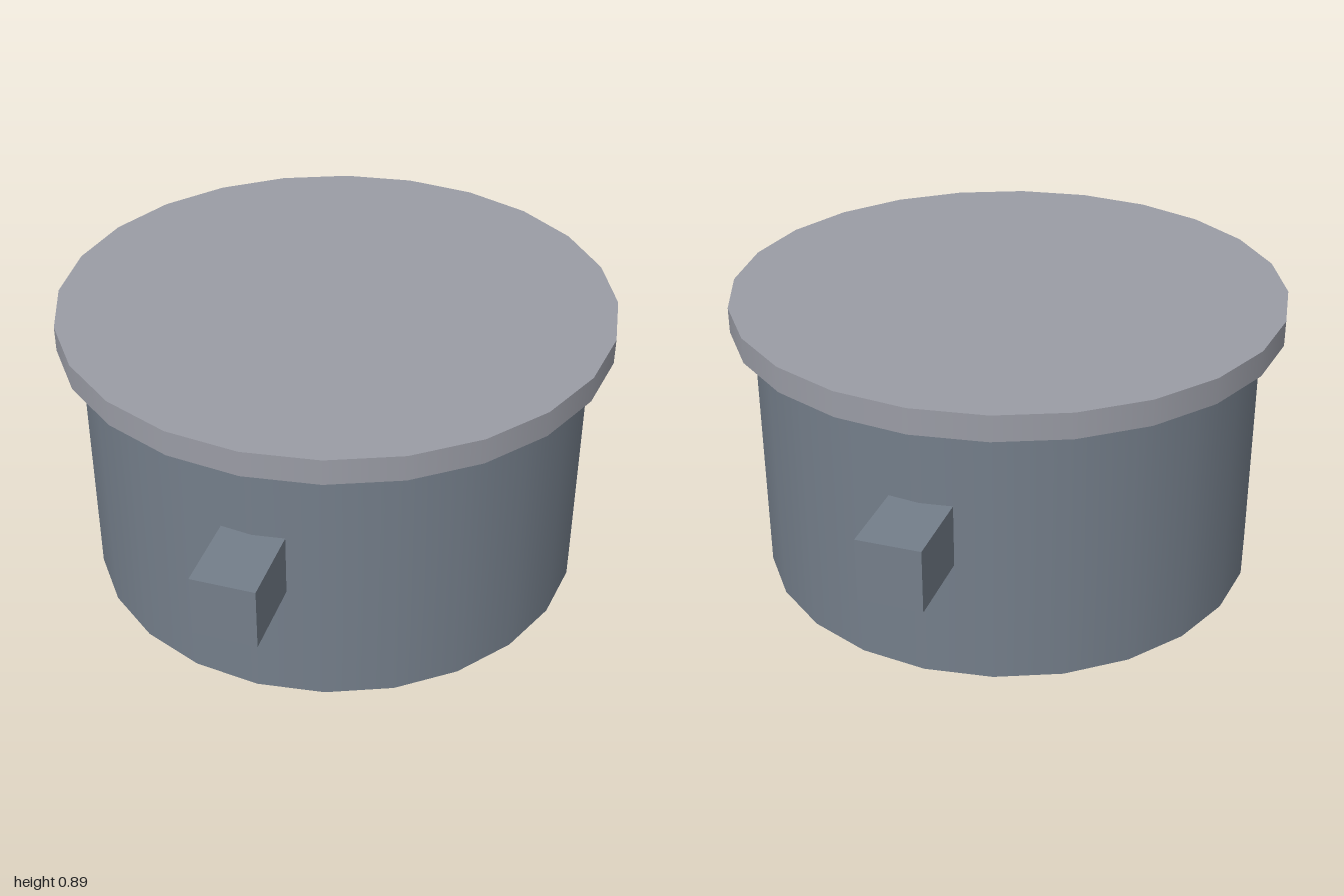
import * as THREE from 'three';

export function createModel() {
  const model = new THREE.Group();
  model.name = 'pot';
  const bodyMaterial = new THREE.MeshStandardMaterial({ color: 0x747e8a });
  const lidMaterial = new THREE.MeshStandardMaterial({ color: 0x9a9ca5 });

  function add(name, geometry, material, y, z = 0) {
    const mesh = new THREE.Mesh(geometry, material);
    mesh.name = name;
    mesh.position.set(0, y, z);
    model.add(mesh);
  }

  // Round body and overhanging lid
  add('body', new THREE.CylinderGeometry(0.776, 0.776, 0.81, 24), bodyMaterial, 0.405);
  add('lid', new THREE.CylinderGeometry(0.845, 0.845, 0.078, 24), lidMaterial, 0.847);

  // Block handles, front and back, sunk slightly into the body
  for (const side of [1, -1]) {
    add(side > 0 ? 'frontHandle' : 'backHandle',
      new THREE.BoxGeometry(0.188, 0.19, 0.26), bodyMaterial, 0.465, side * 0.87);
  }
  return model;
}
